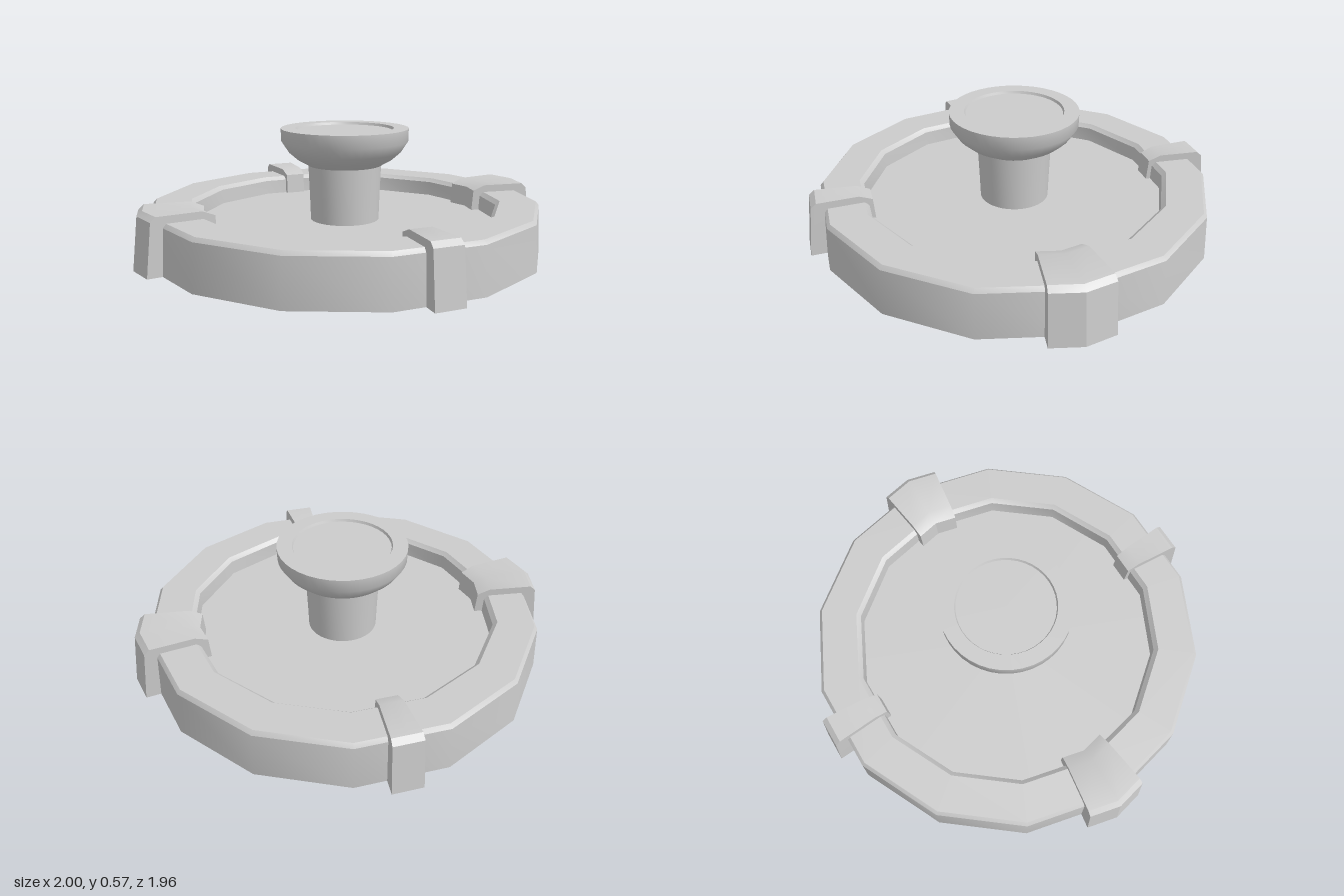
import * as THREE from 'three';
import { toCreasedNormals } from 'three/addons/utils/BufferGeometryUtils.js';

const SIDES = 14;
const material = new THREE.MeshStandardMaterial({ color: 0xcccccc, side: THREE.DoubleSide });
const points = (list) => list.map(([x, y]) => new THREE.Vector2(x, y));

function part(name, geometry, crease = 0.6) {
  const mesh = new THREE.Mesh(toCreasedNormals(geometry, crease), material);
  mesh.name = name;
  return mesh;
}

// U-shaped strap over the rim, running along +x: it narrows towards the
// centre and, with bend > 0, folds around a corner of the rim.
function clampGeometry(shift, innerHalf, outerHalf, bend) {
  const shape = new THREE.Shape(points([
    [1.0, 0], [0.975, 0.24], [0.95, 0.262], [0.74, 0.262], [0.68, 0.238], [0.67, 0.12],
    [0.72, 0.12], [0.72, 0.21], [0.9, 0.21], [0.9, 0],
  ]));
  const geometry = new THREE.ExtrudeGeometry(shape, { depth: 2, steps: 2, bevelEnabled: false });
  geometry.translate(0, 0, -1);
  const pos = geometry.attributes.position;
  for (let i = 0; i < pos.count; i++) {
    const r = pos.getX(i);
    const z = pos.getZ(i) * THREE.MathUtils.mapLinear(r, 0.67, 0.98, innerHalf, outerHalf);
    const outward = r > 0.85 ? shift : 0;
    pos.setX(i, r + outward - bend * Math.abs(z));
    pos.setZ(i, z);
  }
  return geometry;
}

export function createModel() {
  const model = new THREE.Group();
  model.name = 'handwheelCover';

  // Hollow faceted rim, open underneath
  model.add(part('rim', new THREE.LatheGeometry(points([
    [0.93, 0], [0.92, 0.21], [0.905, 0.228], [0.735, 0.228], [0.715, 0.21], [0.71, 0.132],
  ]), SIDES, Math.PI / SIDES)));

  // Floor plate, its edge hidden inside the rim
  const plate = part('floorPlate', new THREE.CircleGeometry(0.79, 8, Math.PI / 8).rotateX(-Math.PI / 2));
  plate.position.y = 0.14;
  model.add(plate);

  // Central stem flaring into a knob with a shallow recessed top
  model.add(part('knob', new THREE.LatheGeometry(points([
    [0.16, 0.09], [0.165, 0.24], [0.172, 0.4], [0.225, 0.43], [0.265, 0.465], [0.298, 0.515],
    [0.3, 0.575], [0.23, 0.575], [0.225, 0.563], [0, 0.563],
  ]), 40), 0.65));

  // Four clamps: wide ones on the side corners, narrow ones front and back
  const names = ['leftClamp', 'backClamp', 'rightClamp', 'frontClamp'];
  names.forEach((name, i) => {
    const wide = i % 2 === 0;
    const geometry = wide
      ? clampGeometry(0, 0.1, 0.142, Math.tan(Math.PI / SIDES))
      : clampGeometry(-0.02, 0.048, 0.068, 0);
    const clamp = part(name, geometry, 0.4);
    clamp.rotation.y = i * Math.PI / 2;
    model.add(clamp);
  });

  return model;
}
